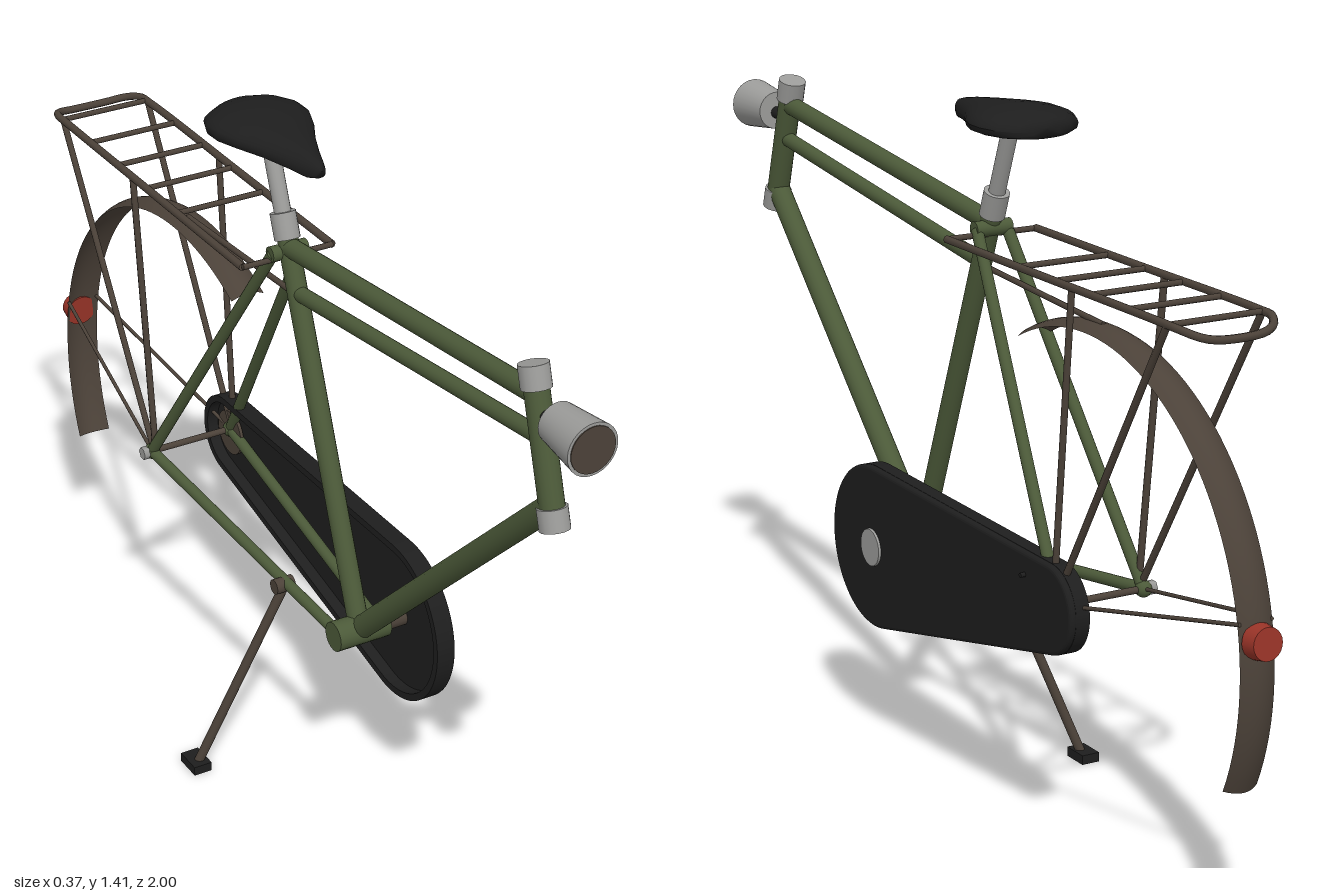
import * as THREE from 'three';

const CX = 0.055; // centre plane of the frame
const mat = (name, color, side = THREE.FrontSide) => {
  const m = new THREE.MeshStandardMaterial({ color, side });
  m.name = name;
  return m;
};

export function createModel() {
  const green = mat('olive green', 0x4c5a39);
  const grey = mat('metal grey', 0x9c9c9a);
  const black = mat('black', 0x1e1e1e);
  const brown = mat('dark brown', 0x4c4239, THREE.DoubleSide);
  const red = mat('red', 0x9a3428);

  const model = new THREE.Group();
  model.name = 'bicycleFrame';
  const V = (x, y, z) => new THREE.Vector3(x, y, z);
  const add = (name, geo, material) => {
    const m = new THREE.Mesh(geo, material);
    m.name = name;
    model.add(m);
    return m;
  };
  // Straight round bar from a to b; r2 is the radius at b
  const rod = (name, a, b, r, material, r2 = r, seg = 16) => {
    const d = b.clone().sub(a);
    const m = add(name, new THREE.CylinderGeometry(r2, r, d.length(), seg), material);
    m.position.copy(a).addScaledVector(d, 0.5);
    m.quaternion.setFromUnitVectors(V(0, 1, 0), d.normalize());
    return m;
  };
  const ball = (name, p, r, material) =>
    add(name, new THREE.SphereGeometry(r, 16, 12), material).position.copy(p);
  // Surface through rows of cross-section points
  const loft = (rows, cols, point) => {
    const pos = [], idx = [];
    for (let i = 0; i < rows; i++)
      for (let j = 0; j < cols; j++) pos.push(...point(i, j));
    for (let i = 0; i < rows - 1; i++)
      for (let j = 0; j < cols - 1; j++) {
        const a = i * cols + j, c = a + cols;
        idx.push(a, c, a + 1, a + 1, c, c + 1);
      }
    const g = new THREE.BufferGeometry();
    g.setAttribute('position', new THREE.Float32BufferAttribute(pos, 3));
    g.setIndex(idx);
    g.computeVertexNormals();
    return g;
  };

  // Main frame
  const bb = V(CX, 0.436, 0.25), seatLug = V(CX, 1.16, -0.035);
  const headTop = V(CX, 1.31, 0.81), headLow = V(CX, 1.02, 0.9);
  const onHead = t => headTop.clone().lerp(headLow, t);
  rod('headTube', onHead(0.1), onHead(0.9), 0.024, green);
  rod('upperHeadLug', headTop, onHead(0.15), 0.029, grey);
  rod('lowerHeadLug', onHead(0.86), headLow, 0.029, grey);
  rod('topTube', onHead(0.19), seatLug, 0.02, green);
  rod('secondTube', onHead(0.45), V(CX, 1.075, -0.005), 0.016, green);
  rod('downTube', V(CX, 1.06, 0.885), bb, 0.024, green);
  rod('seatTube', bb, V(CX, 1.175, -0.04), 0.021, green);
  rod('bottomBracket', V(-0.005, 0.436, 0.25), V(0.112, 0.436, 0.25), 0.031, green, 0.031, 20);
  rod('crankAxle', V(0.1, 0.436, 0.25), V(0.165, 0.436, 0.25), 0.02, brown);
  rod('seatLug', V(0.015, 1.15, -0.04), V(0.095, 1.15, -0.04), 0.016, green);

  // Rear triangle, mirrored about the centre plane
  for (const s of [-1, 1]) {
    const end = V(CX + s * 0.095, 0.515, -0.45);
    const side = s > 0 ? 'left' : 'right';
    rod(side + 'SeatStay', V(CX + s * 0.033, 1.15, -0.04), end, 0.012, green);
    rod(side + 'ChainStay', V(CX + s * 0.045, 0.436, 0.24), end, 0.012, green);
    ball(side + 'Dropout', end, 0.017, green);
    // Rack legs and mudguard stay
    const x = CX + s * 0.1;
    rod(side + 'FrontRackLeg', V(x, 1.135, -0.5), V(CX + s * 0.095, 0.545, -0.436), 0.007, brown, 0.007, 8);
    rod(side + 'RearRackLeg', V(x, 1.135, -0.815), V(CX + s * 0.095, 0.535, -0.45), 0.007, brown, 0.007, 8);
    rod(side + 'MudguardStay', end, V(CX + s * 0.034, 0.62, -0.96), 0.004, brown, 0.004, 8);
  }
  rod('rearAxle', V(-0.05, 0.515, -0.45), V(0.15, 0.515, -0.45), 0.007, brown);
  rod('axleNut', V(-0.064, 0.515, -0.45), V(-0.04, 0.515, -0.45), 0.014, grey, 0.014, 6);

  // Luggage rack: two rails joined by a rounded rear end that dips slightly
  const half = [[1.138, -0.04, 0.1], [1.138, -0.4, 0.1], [1.138, -0.8, 0.1],
    [1.136, -0.85, 0.097], [1.126, -0.882, 0.075], [1.12, -0.892, 0.045]];
  const loop = [
    ...half.map(([y, z, x]) => V(CX + x, y, z)),
    ...half.slice().reverse().map(([y, z, x]) => V(CX - x, y, z)),
  ];
  const rail = new THREE.CatmullRomCurve3(loop, false, 'centripetal');
  add('rackRails', new THREE.TubeGeometry(rail, 120, 0.008, 8), brown);
  for (const z of [-0.04, -0.31, -0.44, -0.565, -0.69, -0.82])
    rod('rackCrossbar', V(CX - 0.1, 1.138, z), V(CX + 0.1, 1.138, z), 0.006, brown, 0.006, 8);

  // Rear mudguard: an arched strip swept around the axle
  const R = 0.537, A0 = 2.056, A1 = -0.425;
  add('mudguard', loft(49, 9, (i, j) => {
    const a = A0 + (A1 - A0) * i / 48, k = j / 4 - 1, r = R - 0.014 * k * k;
    return [CX + 0.037 * k, 0.51 + r * Math.sin(a), -0.445 - r * Math.cos(a)];
  }), brown);
  rod('mudguardBracket', V(CX, 1.068, -0.01), V(CX, 1.045, -0.45), 0.006, brown, 0.006, 8);
  rod('rearReflector', V(CX, 0.587, -0.968), V(CX, 0.59, -0.999), 0.035, red, 0.031, 24);

  // Chain case: a tapered outline around two circles, open towards the wheel
  const outline = (Shape, inset) => {
    const x1 = -0.25, y1 = 0.436, r1 = 0.172, x2 = 0.442, y2 = 0.508, r2 = 0.089;
    const th = Math.atan2(y2 - y1, x2 - x1);
    const al = Math.acos((r1 - r2) / Math.hypot(x2 - x1, y2 - y1));
    const s = new Shape();
    s.absarc(x1, y1, r1 - inset, th + al, th - al + Math.PI * 2, false);
    s.absarc(x2, y2, r2 - inset, th - al, th + al, false);
    s.closePath();
    return s;
  };
  const wall = outline(THREE.Shape, 0);
  wall.holes.push(outline(THREE.Path, 0.015));
  const wallGeo = new THREE.ExtrudeGeometry(wall, { depth: 0.03, bevelEnabled: false, curveSegments: 32 });
  wallGeo.rotateY(Math.PI / 2).translate(0.13, 0, 0);
  add('chainCaseWall', wallGeo, black);
  const coverGeo = new THREE.ExtrudeGeometry(outline(THREE.Shape, 0), {
    depth: 0.004, bevelThickness: 0.007, bevelSize: 0.007, bevelOffset: -0.007, bevelSegments: 3, curveSegments: 32,
  });
  coverGeo.rotateY(Math.PI / 2).translate(0.162, 0, 0);
  add('chainCaseCover', coverGeo, black);
  rod('crankCap', V(0.165, 0.436, 0.25), V(0.178, 0.436, 0.25), 0.041, grey, 0.039, 28);
  rod('chainCaseKnob', V(0.165, 0.555, -0.365), V(0.183, 0.555, -0.365), 0.005, black, 0.005, 8);
  rod('sprocket', V(0.145, 0.51, -0.445), V(0.152, 0.51, -0.445), 0.05, brown, 0.05, 24);

  // Saddle: z, half width, top and bottom of each section
  const sections = [[0.088, 0, 1.372, 1.372], [0.082, 0.012, 1.384, 1.356], [0.06, 0.022, 1.39, 1.349],
    [0.02, 0.036, 1.397, 1.351], [-0.04, 0.061, 1.404, 1.354], [-0.09, 0.087, 1.409, 1.356],
    [-0.135, 0.104, 1.412, 1.356], [-0.175, 0.105, 1.411, 1.356], [-0.212, 0.09, 1.406, 1.356],
    [-0.235, 0.06, 1.398, 1.357], [-0.244, 0.03, 1.39, 1.362], [-0.246, 0, 1.378, 1.378]];
  add('saddle', loft(sections.length, 25, (i, j) => {
    const [z, w, top, bot] = sections[i], a = j / 24 * Math.PI * 2;
    const mid = bot + 0.4 * (top - bot), s = Math.sin(a);
    const y = s >= 0 ? mid + (top - mid) * s : mid - (mid - bot) * Math.sqrt(-s);
    return [CX + w * Math.cos(a), y, z];
  }), black);
  rod('seatPost', V(CX, 1.16, -0.035), V(CX, 1.365, -0.115), 0.017, grey);
  rod('seatClamp', V(CX, 1.175, -0.041), V(CX, 1.225, -0.06), 0.026, grey);

  // Headlamp with lens and bracket
  rod('headlampBody', V(CX, 1.232, 0.89), V(CX, 1.232, 0.998), 0.04, grey, 0.052, 28);
  rod('headlampLens', V(CX, 1.232, 0.993), V(CX, 1.232, 1), 0.046, brown, 0.046, 28);
  rod('headlampBracket', V(CX, 1.225, 0.83), V(CX, 1.228, 0.895), 0.013, black);

  // Kickstand on the right chain stay
  rod('kickstandMount', V(-0.03, 0.452, 0.056), V(0.012, 0.452, 0.056), 0.016, brown);
  rod('kickstandLeg', V(-0.005, 0.45, 0.056), V(-0.163, 0.012, -0.03), 0.01, brown);
  add('kickstandFoot', new THREE.BoxGeometry(0.04, 0.02, 0.06), black).position.set(-0.165, 0.01, -0.035);

  return model;
}
